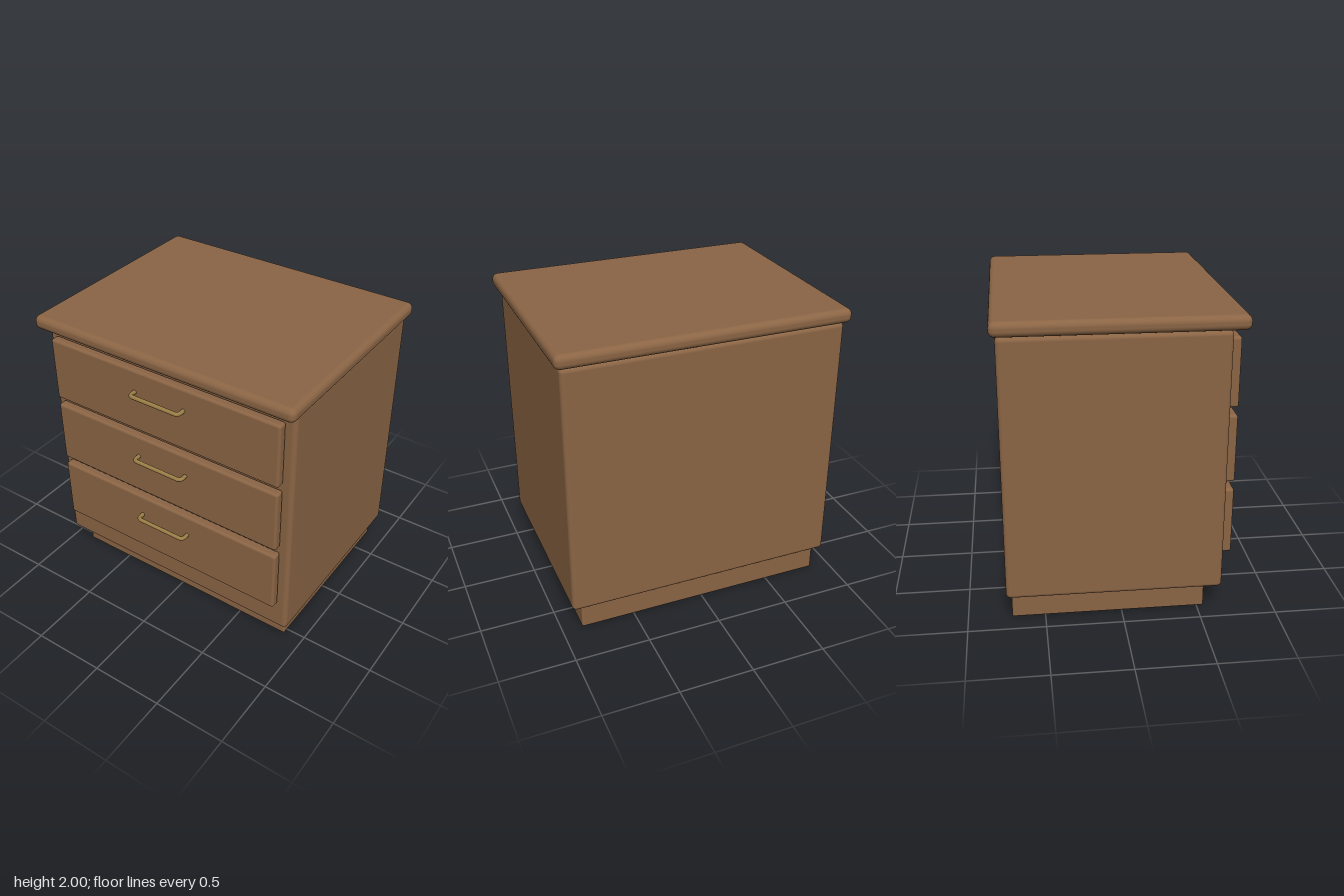
import * as THREE from 'three';
import { RoundedBoxGeometry } from 'three/addons/geometries/RoundedBoxGeometry.js';

export function createModel() {
  const group = new THREE.Group();
  const wood = new THREE.MeshStandardMaterial({ color: 0x8b6545 });
  const brass = new THREE.MeshStandardMaterial({ color: 0x9a7d45 });

  // Rounded wooden block given by its extents along each axis
  function block(name, halfWidth, [y0, y1], [z0, z1], radius, parent = group) {
    const geometry = new RoundedBoxGeometry(2 * halfWidth, y1 - y0, z1 - z0, 5, radius);
    const mesh = new THREE.Mesh(geometry, wood);
    mesh.name = name;
    mesh.position.set(0, (y0 + y1) / 2, (z0 + z1) / 2);
    parent.add(mesh);
    return mesh;
  }

  block('plinth', 0.865, [0, 0.18], [-0.715, 0.545], 0.012);
  block('carcass', 0.93, [0.172, 1.902], [-0.75, 0.65], 0.03);
  block('top', 0.965, [1.905, 2], [-0.785, 0.75], 0.04);

  // Bent bar pull: two short legs joined to a bar by rounded corners
  const r = 0.014, x = 0.186, zBack = 0.7, zBar = 0.77, bend = 0.03;
  const v = (a, z) => new THREE.Vector3(a, 0, z);
  const path = new THREE.CurvePath();
  path.add(new THREE.LineCurve3(v(-x, zBack), v(-x, zBar - bend)));
  path.add(new THREE.QuadraticBezierCurve3(v(-x, zBar - bend), v(-x, zBar), v(-x + bend, zBar)));
  path.add(new THREE.LineCurve3(v(-x + bend, zBar), v(x - bend, zBar)));
  path.add(new THREE.QuadraticBezierCurve3(v(x - bend, zBar), v(x, zBar), v(x, zBar - bend)));
  path.add(new THREE.LineCurve3(v(x, zBar - bend), v(x, zBack)));
  const pullGeometry = new THREE.TubeGeometry(path, 80, r, 12);

  // Three equal drawers, each with a pull
  ['bottom', 'middle', 'top'].forEach((level, i) => {
    const y = 0.395 + i * 0.5;
    const drawer = new THREE.Group();
    drawer.name = `${level}Drawer`;
    block('drawerFront', 0.865, [y, y + 0.45], [0.65, 0.715], 0.018, drawer);
    const pull = new THREE.Mesh(pullGeometry, brass);
    pull.name = 'handle';
    pull.position.y = y + 0.295;
    drawer.add(pull);
    group.add(drawer);
  });

  return group;
}
